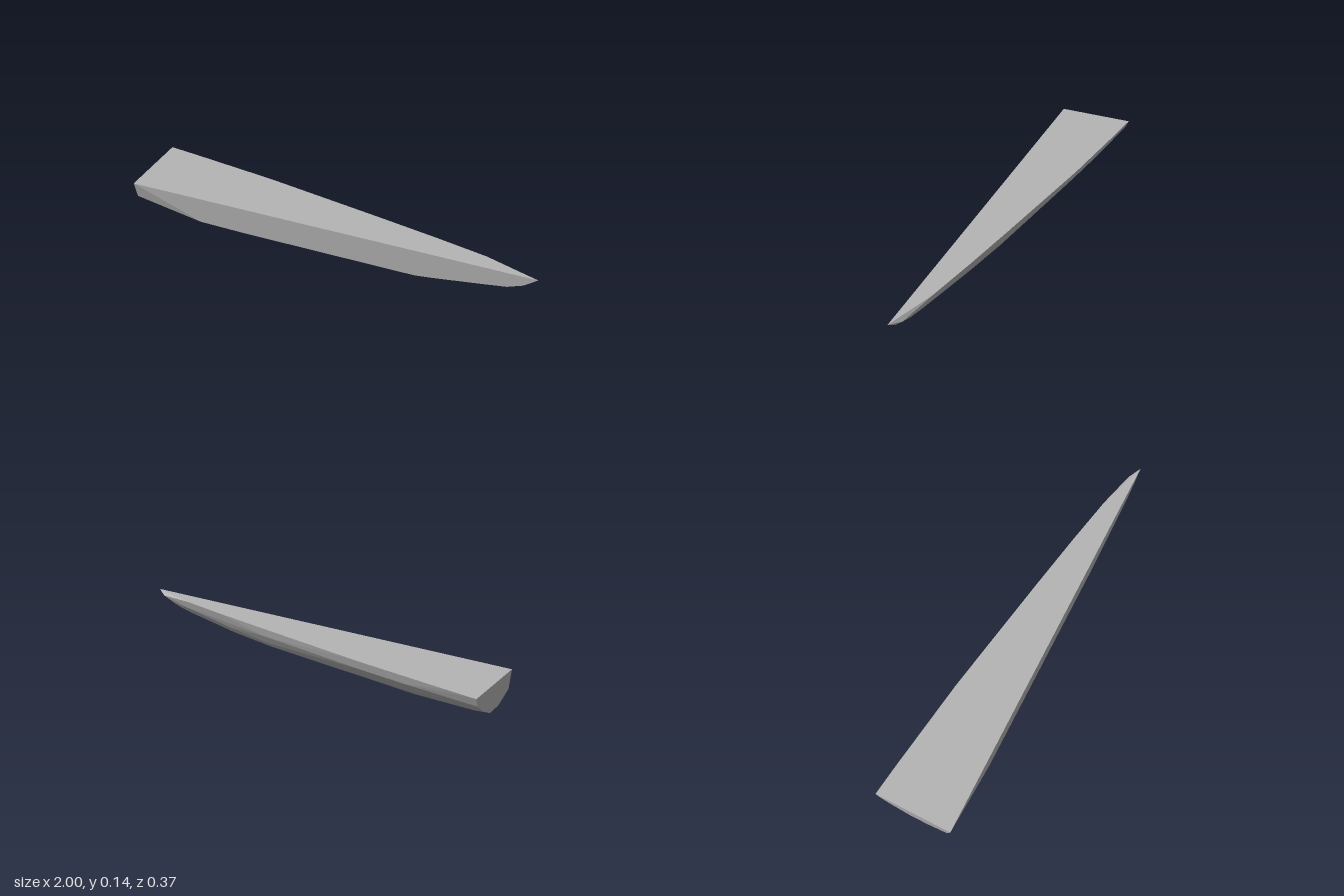
import * as THREE from 'three';
import { ConvexGeometry } from 'three/addons/geometries/ConvexGeometry.js';

const FLAT_Z = 0.187; // flat centreline face
const DECK_Y = 0.136;

// Hull stations from stern to bow: x, then [z, y] points below the deck edge
const STATIONS = [
  [-1, [[0.165, 0.05], [0.06, 0.012], [-0.03, 0.011], [-0.107, 0.05], [-0.168, 0.095]]],
  [-0.93, [[0.12, 0.003], [-0.035, 0.008]]],
  [-0.64, [[FLAT_Z, 0.004], [0.1, 0.001], [-0.025, 0.008], [-0.085, 0.048], [-0.125, 0.093]]],
  [-0.4, [[FLAT_Z, 0], [0.1, 0.001], [0.01, 0.007], [-0.045, 0.046], [-0.09, 0.092]]],
  [0.2, [[FLAT_Z, 0], [0.13, 0.003], [0.08, 0.014], [0.04, 0.048], [0.012, 0.092]]],
  [0.45, [[FLAT_Z, 0], [0.15, 0.006], [0.11, 0.028], [0.076, 0.065]]],
  [0.53, [[FLAT_Z, 0.01]]],
  [0.75, [[FLAT_Z, 0.043], [0.15, 0.058], [0.12, 0.095]]],
  [0.87, [[FLAT_Z, 0.062], [0.152, 0.09]]],
  [0.94, [[FLAT_Z, 0.09], [0.151, 0.12]]],
];

// Deck outline: [x, z]
const DECK = [[-1, FLAT_Z], [-1, -0.187], [-0.85, -0.168], [-0.4, -0.105],
  [0.2, 0], [0.5, 0.055], [0.75, 0.105], [1, FLAT_Z]];

export function createModel() {
  const model = new THREE.Group();
  model.name = 'halfHullModel';
  const grey = new THREE.MeshStandardMaterial({ color: 0xb4b4b4 });
  grey.name = 'hull grey';

  // Faceted convex skin around the stations and the flat deck
  const points = DECK.map(([x, z]) => new THREE.Vector3(x, DECK_Y, z));
  for (const [x, section] of STATIONS) {
    for (const [z, y] of section) points.push(new THREE.Vector3(x, y, z));
  }
  const hull = new THREE.Mesh(new ConvexGeometry(points), grey);
  hull.name = 'halfHull';
  model.add(hull);
  return model;
}
